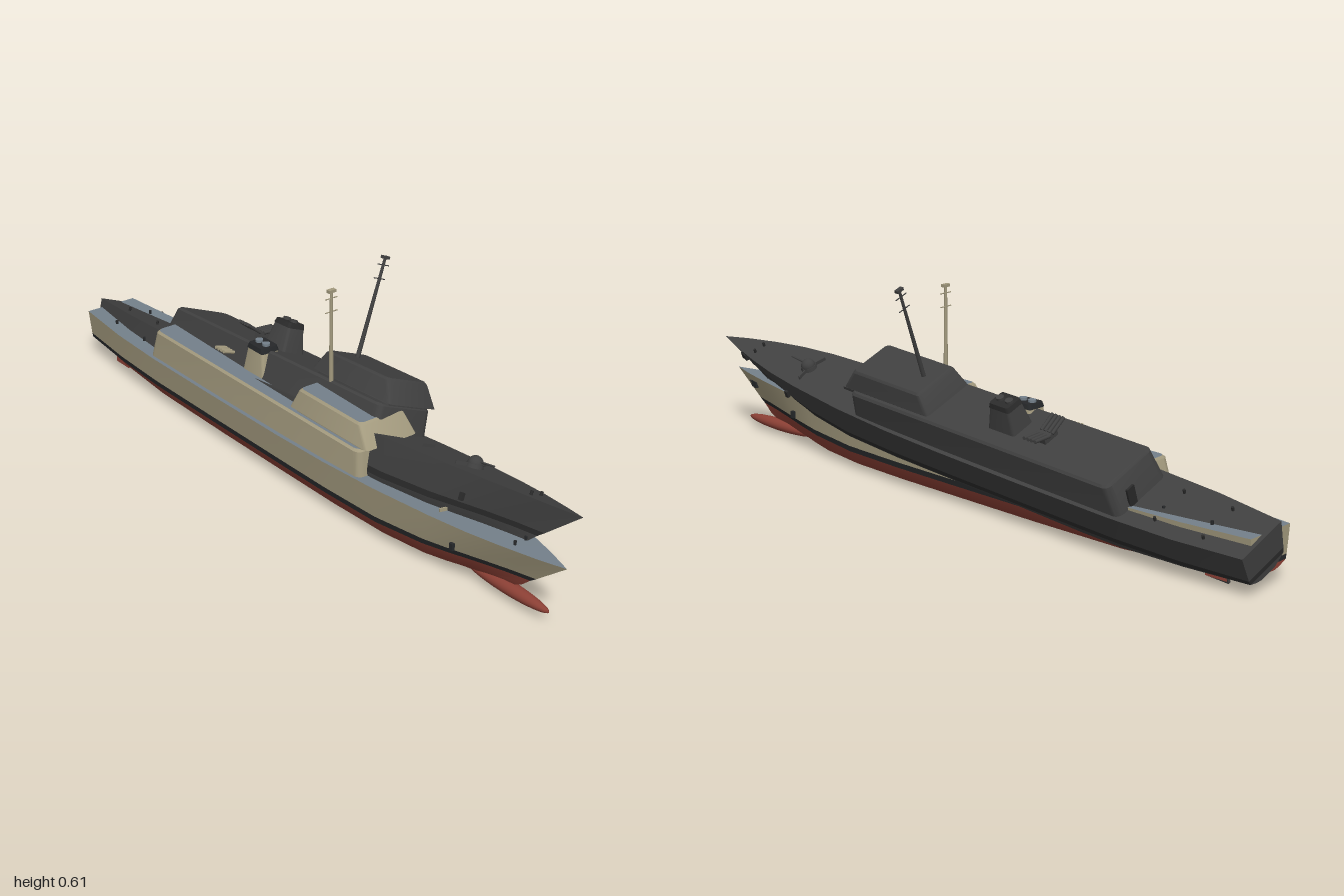
import * as THREE from 'three';
import { toCreasedNormals } from 'three/addons/utils/BufferGeometryUtils.js';

const mat = (name, color) => Object.assign(new THREE.MeshStandardMaterial({ color }), { name });

// Triangles between stacked loops; every loop runs stern -> bow on +x, then back on -x
function skin(rings, capTop, capBottom) {
  const v = [];
  const tri = (...p) => p.forEach((q) => v.push(...q));
  for (let r = 0; r + 1 < rings.length; r++) {
    const lo = rings[r], up = rings[r + 1], n = lo.length;
    for (let i = 0; i < n; i++) {
      const j = (i + 1) % n;
      tri(lo[i], up[i], lo[j]);
      tri(lo[j], up[i], up[j]);
    }
  }
  const cap = (ring, flip) => {
    const n = ring.length;
    for (let i = 0; i < n / 2 - 1; i++) {
      const p = ring[i], p2 = ring[i + 1], q = ring[n - 1 - i], q2 = ring[n - 2 - i];
      if (flip) { tri(p, p2, q); tri(q, p2, q2); } else { tri(p, q, p2); tri(q, q2, p2); }
    }
  };
  if (capTop) cap(rings[rings.length - 1], false);
  if (capBottom) cap(rings[0], true);
  const g = new THREE.BufferGeometry();
  g.setAttribute('position', new THREE.Float32BufferAttribute(v, 3));
  return toCreasedNormals(g, 0.5);
}

const mirrorLoop = (half) => [...half, ...half.slice().reverse().map(([x, y, z]) => [-x, y, z])];

// Rounded rectangle loop at height y
function rectLoop(y, w, zBack, zFront, r) {
  const half = [];
  for (const [zc, a0] of [[zBack + r, -Math.PI / 2], [zFront - r, 0]])
    for (let i = 0; i <= 4; i++) {
      const a = a0 + (i / 4) * Math.PI / 2;
      half.push([w - r + r * Math.cos(a), y, zc + r * Math.sin(a)]);
    }
  return mirrorLoop(half);
}

// Hull stations from stern to bow: z, deck half beam, deck height, fullness below, keel rise
const STATIONS = [
  [-1, 0.08, 0.146, 0.9, 0.04], [-0.8, 0.1, 0.145, 0.96, 0.018], [-0.6, 0.108, 0.145, 1, 0.003],
  [-0.3, 0.109, 0.145, 1, 0], [0, 0.109, 0.147, 1, 0], [0.2, 0.108, 0.151, 1, 0],
  [0.4, 0.102, 0.158, 0.95, 0], [0.6, 0.086, 0.165, 0.85, 0.003], [0.72, 0.07, 0.168, 0.75, 0.008],
  [0.82, 0.05, 0.17, 0.66, 0.015], [0.92, 0.025, 0.171, 0.55, 0.022], [1, 0, 0.172, 0.4, 0.028],
];

// Hull loop at one level: width factor, base height, bow rise, bow rake, keel influence
function hullLoop(width, y, rise, rake, keel) {
  return mirrorLoop(STATIONS.map(([z, beam, deckY, full, k]) => {
    const t = THREE.MathUtils.smoothstep(z, 0.35, 1);
    if (y === null) return [beam, deckY, z];
    return [beam * width * (1 - (1 - full) * Math.min(1, (1 - width) * 2.5 + 0.15)), y + rise * t + k * keel, z - rake * t];
  }));
}

function buildShip(m) {
  const ship = new THREE.Group();
  const add = (name, geo, material, x = 0, y = 0, z = 0) => {
    const mesh = new THREE.Mesh(geo, material);
    mesh.name = name;
    mesh.position.set(x, y, z);
    ship.add(mesh);
    return mesh;
  };
  const box = (name, w, h, d, material, x, y, z) => add(name, new THREE.BoxGeometry(w, h, d), material, x, y, z);
  const rod = (name, r0, r1, len, material, x, y, z, n = 10) =>
    add(name, new THREE.CylinderGeometry(r1, r0, len, n), material, x, y, z);

  // Hull: painted bottom, boot stripe, topsides and deck
  const levels = [
    hullLoop(0.36, 0, 0, 0.22, 1), hullLoop(0.62, 0.01, 0.005, 0.18, 0.9), hullLoop(0.78, 0.028, 0.01, 0.15, 0.6),
    hullLoop(0.89, 0.053, 0.025, 0.12, 0.1), hullLoop(0.92, 0.07, 0.025, 0.1, 0), hullLoop(1, null),
  ];
  add('hullBottom', skin(levels.slice(0, 4), false, true), m.bottom);
  add('bootStripe', skin(levels.slice(3, 5)), m.stripe);
  add('topsides', skin(levels.slice(4, 6)), m.paint);
  const deckGeo = skin([levels[5]], true);
  add('deck', deckGeo, m.deck);

  // Bow bulb, rudders and propeller shafts
  const bulb = add('bowBulb', new THREE.SphereGeometry(1, 20, 12), m.bottom, 0, 0.026, 0.8);
  bulb.scale.set(0.02, 0.018, 0.15);
  for (const s of [-1, 1]) {
    box('rudder', 0.008, 0.045, 0.065, m.bottom, s * 0.04, 0.025, -0.875);
    const shaft = rod('propellerShaft', 0.004, 0.004, 0.2, m.bottom, s * 0.04, 0.012, -0.72, 8);
    shaft.rotation.x = Math.PI / 2;
  }

  // Deckhouse and bridge with bevelled roofs
  const house = (name, y0, y1, b, t, r) => {
    const lip = 0.006;
    const top = rectLoop(y1, t[0] - lip, t[1] + lip, t[2] - lip, r);
    add(name, skin([rectLoop(y0, ...b, r), rectLoop(y1 - lip, ...t, r), top], false, true), m.paint);
    add(name + 'Roof', skin([top], true), m.deck);
  };
  house('deckhouse', 0.14, 0.23, [0.097, -0.635, 0.34], [0.093, -0.61, 0.33], 0.02);
  house('bridgeBase', 0.229, 0.24, [0.078, 0.045, 0.335], [0.078, 0.045, 0.335], 0.012);
  house('bridge', 0.237, 0.296, [0.084, 0.025, 0.355], [0.073, 0.05, 0.315], 0.012);

  // Funnel with a dark cap and two exhausts
  add('funnel', skin([rectLoop(0.229, 0.038, -0.25, -0.155, 0.008), rectLoop(0.296, 0.028, -0.24, -0.17, 0.008)]), m.paint);
  add('funnelCap', skin([rectLoop(0.296, 0.03, -0.242, -0.168, 0.008), rectLoop(0.31, 0.027, -0.238, -0.172, 0.008)], true, true), m.stripe);
  for (const z of [-0.222, -0.19]) rod('exhaust', 0.011, 0.011, 0.012, m.deck, 0, 0.311, z, 14);

  // Twin banks of launcher tubes angled outboard
  box('launcherBase', 0.05, 0.016, 0.04, m.paint, 0, 0.237, -0.33);
  for (const s of [-1, 1])
    for (let i = 0; i < 4; i++) {
      const tube = rod('launcherTube', 0.005, 0.005, 0.055, m.paint, s * 0.032, 0.253, -0.349 + i * 0.0125);
      tube.rotation.z = -s * 1.25;
    }

  // Mast, yards and masthead
  rod('mast', 0.0065, 0.004, 0.28, m.paint, 0, 0.433, 0.1);
  for (const y of [0.515, 0.553]) {
    const yard = rod('yard', 0.0015, 0.0015, 0.04, m.paint, 0, y, 0.1, 6);
    yard.rotation.z = Math.PI / 2;
  }
  box('masthead', 0.023, 0.008, 0.012, m.paint, 0, 0.574, 0.1);

  // Foredeck gun, breakwater and hatch
  rod('gunBase', 0.024, 0.022, 0.012, m.paint, 0, 0.17, 0.62, 20);
  add('gunTurret', new THREE.SphereGeometry(0.021, 18, 9, 0, Math.PI * 2, 0, Math.PI / 2), m.paint, 0, 0.175, 0.62);
  const barrel = rod('gunBarrel', 0.003, 0.0025, 0.06, m.paint, 0, 0.186, 0.655, 8);
  barrel.rotation.x = Math.PI / 2 - 0.1;
  for (const s of [-1, 1]) {
    const wall = box('breakwater', 0.045, 0.01, 0.004, m.paint, s * 0.032, 0.17, 0.61);
    wall.rotation.y = s * 0.25;
  }
  box('foreHatch', 0.045, 0.012, 0.045, m.paint, 0, 0.162, 0.425);

  // Aft door, bollards and bow openings
  box('aftDoor', 0.028, 0.055, 0.006, m.stripe, 0.035, 0.172, -0.631);
  for (const s of [-1, 1]) {
    for (const z of [-0.87, -0.72]) rod('bollard', 0.004, 0.004, 0.012, m.stripe, s * 0.06, 0.15, z, 8);
    rod('bowBollard', 0.004, 0.004, 0.012, m.stripe, s * 0.018, 0.175, 0.84, 8);
    box('sideVent', 0.009, 0.02, 0.012, m.stripe, s * 0.068, 0.102, 0.67);
  }
  const anchor = box('anchorPort', 0.009, 0.018, 0.03, m.stripe, 0.02, 0.14, 0.9);
  anchor.rotation.y = -0.27;
  return ship;
}

export function createModel() {
  const dark = mat('charcoal', 0x404040);
  const darkStripe = mat('deepCharcoal', 0x2b2b2b);
  const painted = buildShip({
    paint: mat('beigePaint', 0xa39a7e), deck: mat('deckGrey', 0x74808a),
    bottom: mat('redOxide', 0x8c4035), stripe: mat('blackPaint', 0x26282a),
  });
  painted.name = 'paintedShip';
  painted.position.x = -0.06;

  // Second copy of the ship, heeled and trimmed by the bow
  const heeled = buildShip({ paint: dark, deck: dark, bottom: dark, stripe: darkStripe });
  heeled.name = 'heeledShip';
  heeled.rotation.set(-0.06, 0, -0.384);
  heeled.position.set(-0.064, 0.064, -0.005);

  const model = new THREE.Group();
  model.name = 'ships';
  model.add(painted, heeled);
  return model;
}
